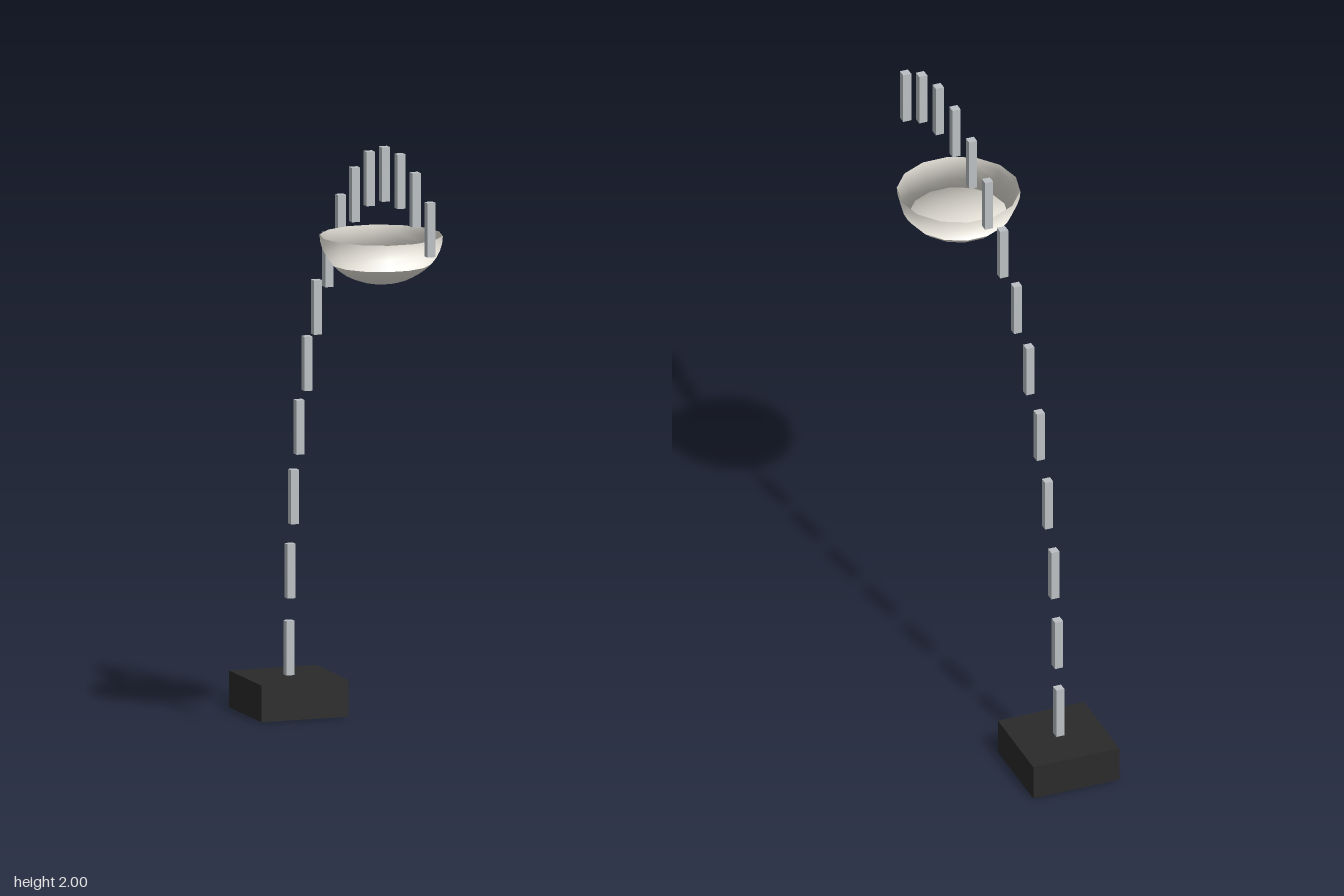
import * as THREE from 'three';

export function createModel() {
  const model = new THREE.Group();
  const dark = new THREE.MeshStandardMaterial({ color: 0x2a2a2a });
  const metal = new THREE.MeshStandardMaterial({ color: 0xbcc0c4 });
  const cream = new THREE.MeshStandardMaterial({ color: 0xf2eee5, side: THREE.DoubleSide });

  function add(name, geometry, material, x, y, z, parent = model) {
    const mesh = new THREE.Mesh(geometry, material);
    mesh.name = name;
    mesh.position.set(x, y, z);
    parent.add(mesh);
    return mesh;
  }

  // Heavy block base
  const baseZ = -0.583;
  add('base', new THREE.BoxGeometry(0.3, 0.12, 0.3), dark, 0, 0.06, baseZ);

  // Arched arm: upright bars spaced along an elliptical arc
  const arm = new THREE.Group();
  arm.name = 'arm';
  model.add(arm);
  const bar = new THREE.BoxGeometry(0.028, 0.178, 0.028);
  const radiusZ = 0.953, radiusY = 1.703;
  for (let i = 0; i < 14; i++) {
    const t = i * 0.1496;
    const z = baseZ + radiusZ * (1 - Math.cos(t));
    const y = 0.211 + radiusY * Math.sin(t);
    add('armSegment' + (i + 1), bar, metal, 0, y, z, arm);
  }

  // Bowl: a flattened dome turned over in y, keeping the dome's upward
  // normals; turning it over leaves its faces pointing into the bowl
  function bowl(radius) {
    const geometry = new THREE.SphereGeometry(radius, 14, 10, 0, Math.PI * 2, 0, Math.PI / 2);
    geometry.scale(1, 0.79, 1);
    const points = geometry.attributes.position;
    for (let i = 0; i < points.count; i++) points.setY(i, -points.getY(i));
    return geometry;
  }

  // Open shade: a thin inner skin and an outer skin with its faces turned outward
  const shade = new THREE.Group();
  shade.name = 'shade';
  shade.position.set(0, 1.703, 0.268);
  model.add(shade);
  const outer = bowl(0.2);
  outer.index.array.reverse();
  add('shadeOuter', outer, cream, 0, 0, 0, shade);
  add('shadeInner', bowl(0.198), cream, 0, 0, 0, shade);

  return model;
}
